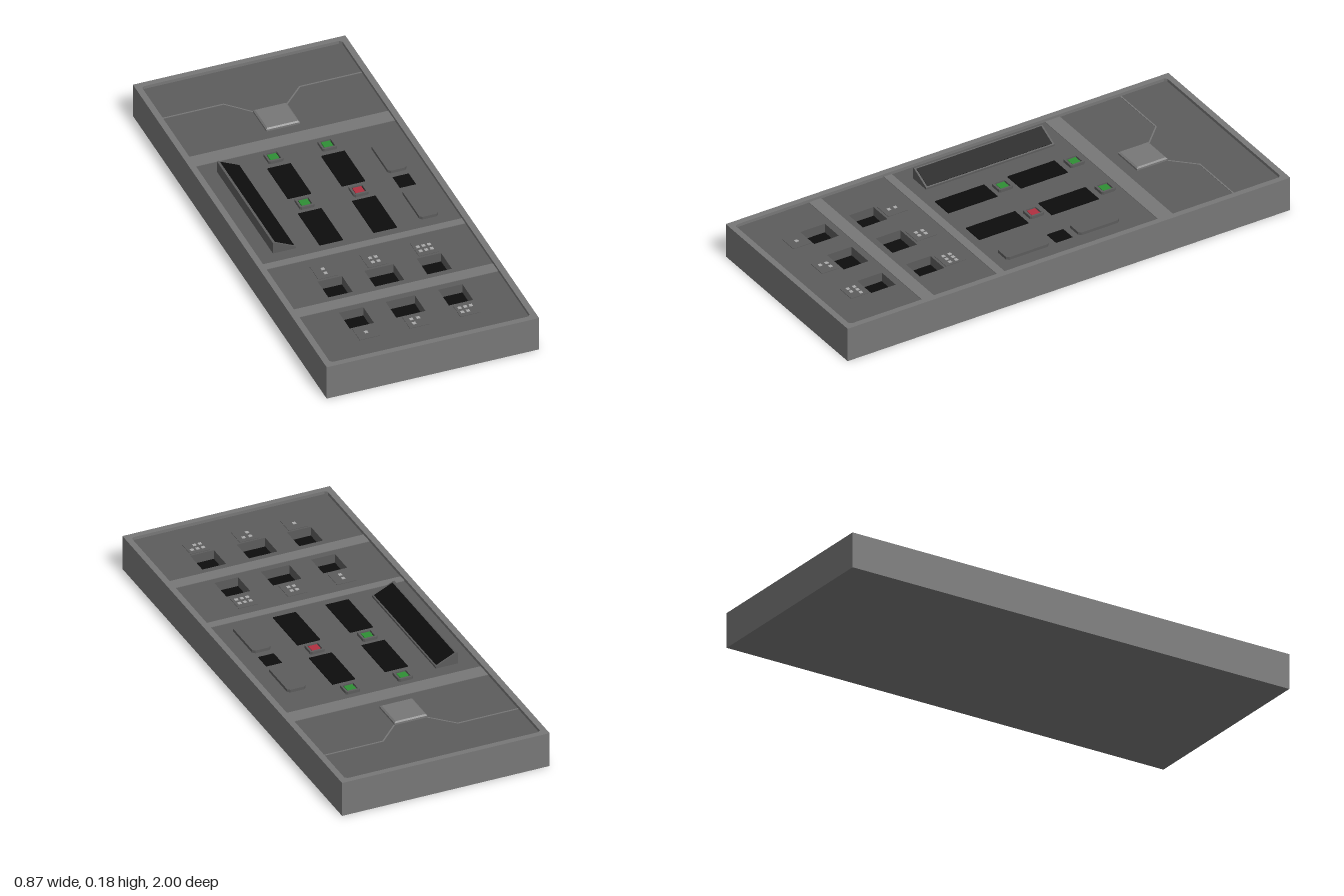
import * as THREE from 'three';

const mat = (color) => new THREE.MeshStandardMaterial({ color, flatShading: true });
const PANEL_Y = 0.134;

// Outline in plan: x to the right, z towards the front; c cuts the corners
function plan(x, z, w, d, c = 0, Type = THREE.Shape) {
  const s = new Type();
  const a = w / 2, b = d / 2, y = -z;
  const pts = c
    ? [[-a + c, -b], [a - c, -b], [a, -b + c], [a, b - c], [a - c, b], [-a + c, b], [-a, b - c], [-a, -b + c]]
    : [[-a, -b], [a, -b], [a, b], [-a, b]];
  pts.forEach(([px, py], i) => (i ? s.lineTo(x + px, y + py) : s.moveTo(x + px, y + py)));
  s.closePath();
  return s;
}

// Extrude a plan shape upward between two heights
function rise(shape, y0, y1) {
  const g = new THREE.ExtrudeGeometry(shape, { depth: y1 - y0, bevelEnabled: false });
  return g.rotateX(-Math.PI / 2).translate(0, y0, 0);
}

export function createModel() {
  const model = new THREE.Group();
  const body = mat(0x777777), face = mat(0x5c5c5c), black = mat(0x0d0d0d);
  const light = mat(0xaaaaaa), green = mat(0x2f8f35), red = mat(0xb03040);

  const add = (name, geometry, material, parent = model) => {
    const m = new THREE.Mesh(geometry, material);
    m.name = name;
    parent.add(m);
    return m;
  };
  const block = (name, x, z, w, d, y0, y1, material, parent) =>
    add(name, new THREE.BoxGeometry(w, y1 - y0, d).translate(x, (y0 + y1) / 2, z), material, parent);

  // Case: tall rim with a floor inside
  const rim = plan(0, 0, 0.874, 2);
  rim.holes.push(plan(0, 0, 0.824, 1.95, 0.01, THREE.Path));
  add('caseRim', rise(rim, 0, 0.147), body);
  block('caseFloor', 0, 0, 0.826, 1.952, 0, 0.085, body);

  // Sunken face panel with six square sockets
  const sockets = [];
  for (const z of [0.503, 0.723])
    [[-0.204, 0.1], [-0.002, 0.12], [0.204, 0.1]].forEach(([x, w]) => sockets.push({ x, z, w, d: 0.111 }));
  const panel = plan(0, 0, 0.826, 1.952);
  for (const s of sockets) panel.holes.push(plan(s.x, s.z, s.w, s.d, 0, THREE.Path));
  add('facePanel', rise(panel, 0.085, PANEL_Y), face);
  for (const s of sockets) block('socketFloor', s.x, s.z, s.w, s.d, 0.08, 0.095, black);

  // Divider bands
  for (const [z, d] of [[-0.46, 0.068], [0.284, 0.036], [0.613, 0.055]])
    block('dividerBand', 0, z, 0.824, d, PANEL_Y - 0.005, PANEL_Y + 0.002, body);

  // Hub plate with bevelled top edge
  const hub = new THREE.ExtrudeGeometry(plan(-0.002, -0.61, 0.126, 0.126), {
    depth: 0.008, bevelEnabled: true, bevelThickness: 0.005, bevelSize: 0.006, bevelSegments: 1,
  });
  add('hubPlate', hub.rotateX(-Math.PI / 2).translate(0, PANEL_Y, 0), body);

  // Thin traces running from the hub to both sides
  const trace = (x0, z0, x1, z1) => {
    const g = new THREE.BoxGeometry(Math.hypot(x1 - x0, z1 - z0) + 0.003, 0.003, 0.006);
    g.rotateY(-Math.atan2(z1 - z0, x1 - x0)).translate((x0 + x1) / 2, PANEL_Y, (z0 + z1) / 2);
    add('trace', g, body);
  };
  for (const s of [-1, 1]) {
    trace(s * 0.412, -0.768, s * 0.157, -0.768);
    trace(s * 0.157, -0.768, s * 0.07, -0.68);
  }

  // Sloping side display: wedge profile stretched along z
  const wedge = new THREE.Shape();
  [[-0.344, 0.12], [-0.25, 0.12], [-0.25, 0.142], [-0.338, 0.183], [-0.344, 0.183]]
    .forEach(([x, y], i) => (i ? wedge.lineTo(x, y) : wedge.moveTo(x, y)));
  wedge.closePath();
  const wedgeGeo = new THREE.ExtrudeGeometry(wedge, { depth: 0.58, bevelEnabled: false });
  add('wedgeDisplay', wedgeGeo.translate(0, 0, -0.368), face);
  const slope = Math.atan2(0.041, 0.088);
  const screen = new THREE.BoxGeometry(0.086, 0.003, 0.564).rotateZ(-slope);
  add('wedgeScreen', screen.translate(-0.294, 0.1627, -0.078), black);

  // Central screens with an indicator behind each
  for (const x of [-0.111, 0.111]) {
    block('screen', x, -0.204, 0.096, 0.212, PANEL_Y - 0.01, PANEL_Y + 0.004, black);
    block('screen', x, 0.119, 0.096, 0.222, PANEL_Y - 0.01, PANEL_Y + 0.004, black);
    for (const z of [-0.368, -0.045]) {
      const lamp = new THREE.Group();
      lamp.name = 'indicator';
      model.add(lamp);
      const lit = x > 0 && z > -0.1 ? red : green;
      const frame = plan(x, z, 0.061, 0.064, 0.006);
      frame.holes.push(plan(x, z, 0.045, 0.045, 0, THREE.Path));
      add('indicatorFrame', rise(frame, PANEL_Y - 0.005, PANEL_Y + 0.012), face, lamp);
      block('indicatorGap', x, z, 0.046, 0.046, PANEL_Y - 0.005, PANEL_Y + 0.004, black, lamp);
      block('indicatorLamp', x, z, 0.037, 0.037, PANEL_Y, PANEL_Y + 0.009, lit, lamp);
    }
  }

  // Raised pads on the left side with a small window between
  for (const [z, d] of [[-0.202, 0.184], [0.12, 0.193]])
    add('pad', rise(plan(0.299, z, 0.078, d, 0.01), PANEL_Y - 0.005, PANEL_Y + 0.012), face);
  block('padWindow', 0.299, -0.045, 0.066, 0.074, PANEL_Y - 0.005, PANEL_Y + 0.002, black);

  // Socket labels with dots, as [column, row] cells
  const labels = [
    [-0.206, 0.392, [[0, -0.5], [0, 0.7]]],
    [0, 0.392, [[-0.5, -0.5], [0.5, -0.5], [-0.5, 0.7], [0.5, 0.7]]],
    [0.208, 0.392, [[-1, -0.5], [0, -0.5], [1, -0.5], [-1, 0.7], [0, 0.7], [1, 0.7]]],
    [-0.206, 0.826, [[0, 0]]],
    [0, 0.826, [[-0.6, -0.6], [0.6, -0.6], [-0.6, 0.6]]],
    [0.208, 0.826, [[-1, -0.6], [0, -0.6], [1, -0.6], [-1, 0.6], [0, 0.6]]],
  ];
  for (const [x, z, dots] of labels) {
    block('labelPlate', x, z, 0.082, z < 0.6 ? 0.09 : 0.079, PANEL_Y - 0.005, PANEL_Y + 0.002, face);
    for (const [c, r] of dots)
      block('labelDot', x + c * 0.023, z + r * 0.024, 0.014, 0.014, PANEL_Y, PANEL_Y + 0.004, light);
  }

  return model;
}
